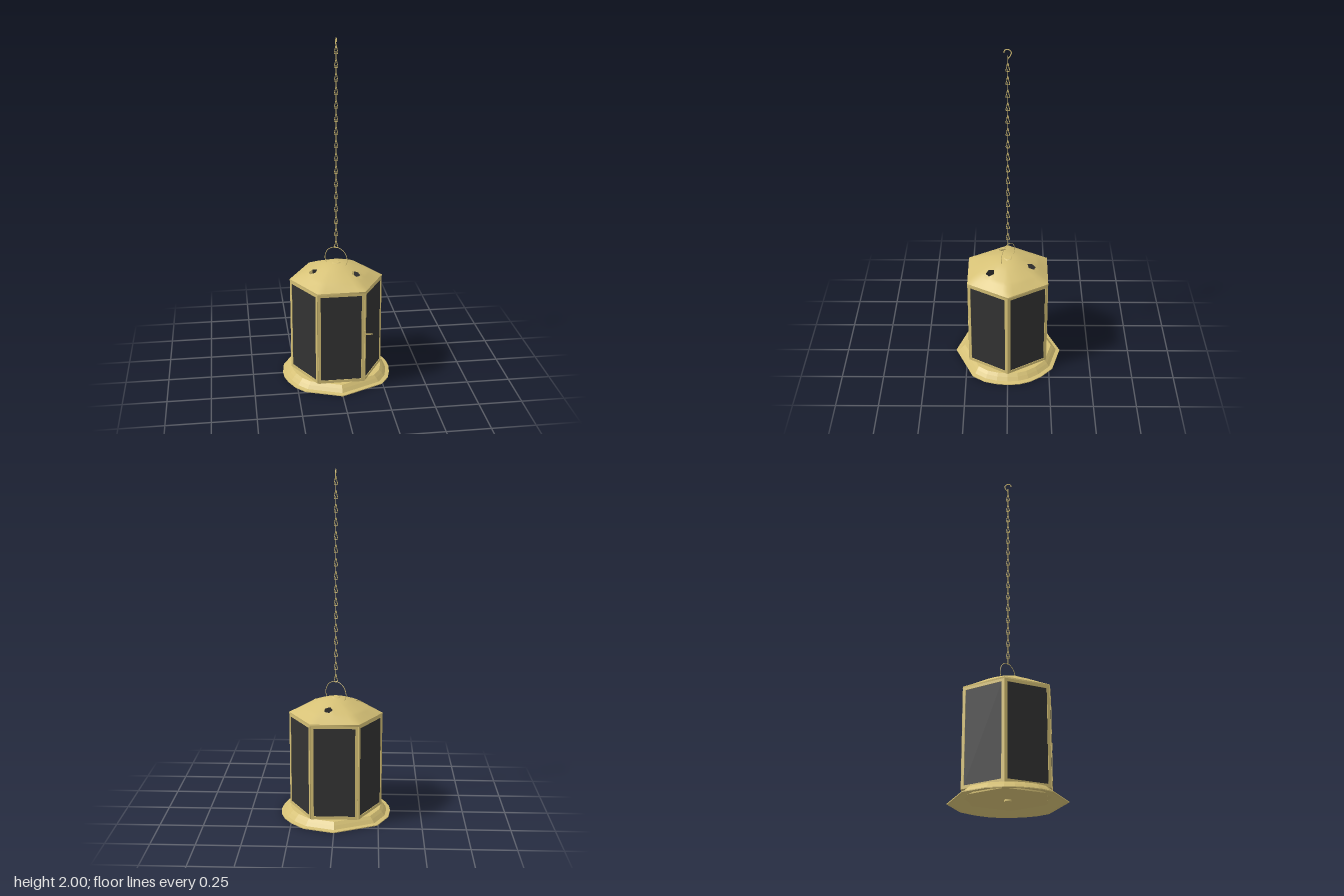
import * as THREE from 'three';
import { mergeVertices } from 'three/addons/utils/BufferGeometryUtils.js';

const brass = new THREE.MeshStandardMaterial({ color: 0xd6c176, side: THREE.DoubleSide });
brass.name = 'brass';
const glass = new THREE.MeshStandardMaterial({ color: 0x333333, side: THREE.DoubleSide });
glass.name = 'dark glass';

const R = 0.272, APOTHEM = R * Math.cos(Math.PI / 6);

function add(parent, name, geometry, material = brass, x = 0, y = 0, z = 0) {
  const mesh = new THREE.Mesh(geometry, material);
  mesh.name = name;
  mesh.position.set(x, y, z);
  parent.add(mesh);
  return mesh;
}

// Hexagonal roof easing into a round crown, with three pentagonal vents
function roofGeometry() {
  const SEG = 48, VENT_RING = 3, ventCells = [10, 26, 42];
  // radius, height, how hexagonal
  const rings = [[R, 0.612, 1], [0.235, 0.629, 0.85], [0.205, 0.643, 0.65], [0.18, 0.654, 0.45],
    [0.105, 0.682, 0.1], [0.075, 0.692, 0], [0.045, 0.7, 0], [0, 0.704, 0]];
  const angle = i => (i / SEG) * Math.PI * 2;
  const point = (k, i) => {
    const [r, y, hex] = rings[k], a = angle((i + SEG) % SEG);
    const hexScale = Math.cos(Math.PI / 6) / Math.cos(a % (Math.PI / 3) - Math.PI / 6);
    const radius = r * (1 - hex + hex * hexScale);
    return new THREE.Vector3(radius * Math.cos(a), y, -radius * Math.sin(a));
  };
  const pos = [];
  const triangle = (...corners) => corners.forEach(p => pos.push(p.x, p.y, p.z));

  for (let k = 0; k < rings.length - 1; k++) for (let i = 0; i < SEG; i++) {
    if (k === VENT_RING && ventCells.some(c => i >= c - 2 && i < c + 2)) continue;
    const [a, b, c, d] = [point(k, i), point(k, i + 1), point(k + 1, i), point(k + 1, i + 1)];
    triangle(a, b, c);
    if (k < rings.length - 2) triangle(b, d, c);
  }

  // Small patches around the vents fill the cells left out above
  for (const c of ventCells) {
    const steps = [-2, -1, 0, 1, 2];
    const outer = steps.map(s => point(VENT_RING, c + s));
    const inner = steps.map(s => point(VENT_RING + 1, c + s)).reverse();
    const vent = Array.from({ length: 5 }, (_, j) => {
      const t = angle(c) + j * Math.PI * 0.4 + 0.5;
      const x = 0.144 * Math.cos(angle(c)) + 0.026 * Math.cos(t);
      const y = 0.144 * Math.sin(angle(c)) + 0.026 * Math.sin(t);
      return new THREE.Vector3(x, 0.682 - 0.373 * (Math.hypot(x, y) - 0.105), -y);
    });
    const rim = [...outer, ...inner], all = [...rim, ...vent];
    const flat = list => list.map(p => new THREE.Vector2(p.x, -p.z));
    for (const f of THREE.ShapeUtils.triangulateShape(flat(rim), [flat(vent)])) triangle(...f.map(n => all[n]));
  }

  let g = new THREE.BufferGeometry();
  g.setAttribute('position', new THREE.Float32BufferAttribute(pos, 3));
  g = mergeVertices(g, 1e-4);
  g.computeVertexNormals();
  return g;
}

// Uneven hammered dish, lofted through scaled copies of its outline
function dishGeometry() {
  const outline = [[0, -0.323], [0.175, -0.272], [0.25, -0.2], [0.293, -0.135], [0.315, -0.07], [0.321, 0],
    [0.313, 0.07], [0.293, 0.14], [0.245, 0.21], [0, 0.321], [-0.21, 0.245], [-0.262, 0.19], [-0.298, 0.12],
    [-0.317, 0.06], [-0.322, 0], [-0.31, -0.095], [-0.245, -0.215]];
  // scale, height: hollow underside, rim, then the raised step
  const levels = [[0, 0.03], [0.72, 0.03], [0.95, 0.003], [1, 0.002], [1, 0.007],
    [0.93, 0.011], [0.88, 0.03], [0.83, 0.046], [0, 0.046]];
  const n = outline.length, pos = [], index = [];
  levels.forEach(([s, y]) => outline.forEach(([x, z]) => pos.push(x * s, y, z * s)));
  for (let k = 0; k < levels.length - 1; k++) for (let i = 0; i < n; i++) {
    const a = k * n + i, b = k * n + (i + 1) % n;
    index.push(a, b, a + n, b, b + n, a + n);
  }
  let g = new THREE.BufferGeometry();
  g.setAttribute('position', new THREE.Float32BufferAttribute(pos, 3));
  g.setIndex(index);
  g = g.toNonIndexed();
  g.computeVertexNormals();
  return g;
}

function rectangle(Type, w, y0, y1) {
  return new Type([[-w, y0], [w, y0], [w, y1], [-w, y1]].map(p => new THREE.Vector2(...p)));
}

function tube(points, radius, segments, closed = false) {
  const curve = new THREE.CatmullRomCurve3(points.map(p => new THREE.Vector3(...p)), closed);
  return new THREE.TubeGeometry(curve, segments, radius, 5, closed);
}

export function createModel() {
  const model = new THREE.Group();
  model.name = 'hangingLantern';

  // Base with a hexagonal plate and knob in its hollow underside
  add(model, 'dish', dishGeometry());
  const underPlate = add(model, 'underPlate', new THREE.CylinderGeometry(0.24, 0.24, 0.008, 6), brass, 0, 0.026);
  underPlate.rotation.y = Math.PI / 2;
  add(model, 'underKnob', new THREE.CylinderGeometry(0.02, 0.02, 0.012, 8), brass, 0, 0.017);

  // Six framed panes
  const frameShape = rectangle(THREE.Shape, 0.133, 0.045, 0.604);
  frameShape.holes.push(rectangle(THREE.Path, 0.117, 0.063, 0.588));
  const frameGeo = new THREE.ExtrudeGeometry(frameShape, { depth: 0.012, bevelEnabled: false });
  const paneGeo = new THREE.BoxGeometry(0.238, 0.53, 0.004);
  const postGeo = new THREE.CylinderGeometry(0.006, 0.006, 0.56, 6);
  for (let i = 0; i < 6; i++) {
    const a = i * Math.PI / 3;
    const side = new THREE.Group();
    side.name = 'side' + (i + 1);
    side.rotation.y = a;
    add(side, 'frame', frameGeo, brass, 0, 0, APOTHEM - 0.012);
    add(side, 'pane', paneGeo, glass, 0, 0.3255, APOTHEM - 0.005);
    model.add(side);
    add(model, 'cornerPost', postGeo, brass, 0.258 * Math.cos(a), 0.325, 0.258 * Math.sin(a));
  }

  // Door latch at the front left corner
  add(model, 'latchRod', new THREE.BoxGeometry(0.05, 0.006, 0.005), brass, 0.158, 0.345, 0.233);
  add(model, 'latchPlate', new THREE.BoxGeometry(0.006, 0.04, 0.004), brass, 0.136, 0.35, 0.235);

  // Roof with eave
  add(model, 'roof', roofGeometry());
  const eave = add(model, 'eave', new THREE.CylinderGeometry(R, R, 0.01, 6, 1, true), brass, 0, 0.607);
  eave.rotation.y = Math.PI / 2;
  add(model, 'collar', new THREE.CylinderGeometry(0.022, 0.028, 0.004, 5), brass, 0, 0.704);

  // Carrying bail, set diagonally
  const bail = new THREE.Group();
  bail.name = 'bail';
  bail.rotation.y = -Math.atan2(0.04, 0.062);
  const arch = [[-0.06, 0.69, 0], [-0.072, 0.725, 0], [-0.052, 0.775, 0], [0, 0.798, 0],
    [0.052, 0.775, 0], [0.072, 0.725, 0], [0.06, 0.69, 0]];
  add(bail, 'wire', tube(arch, 0.002, 28));
  model.add(bail);

  // Chain of teardrop links, each turned a quarter from the last
  const linkGeo = tube([[0, 0.028, 0], [-0.006, 0, 0], [-0.01, -0.02, 0], [0.01, -0.02, 0], [0.006, 0, 0]], 0.0022, 12, true);
  const LINKS = 31, y0 = 0.815, y1 = 1.935;
  for (let i = 0; i < LINKS; i++) {
    const link = add(model, 'chainLink', linkGeo, brass, 0, y0 + (y1 - y0) * i / (LINKS - 1), 0);
    link.rotation.y = (i % 2) * Math.PI / 2;
  }

  // Top hook
  add(model, 'hook', tube([[0, 1.945, 0], [0, 1.962, -0.013], [0, 1.983, -0.018], [0, 1.997, 0],
    [0, 1.992, 0.016], [0, 1.978, 0.02]], 0.003, 20));
  return model;
}
